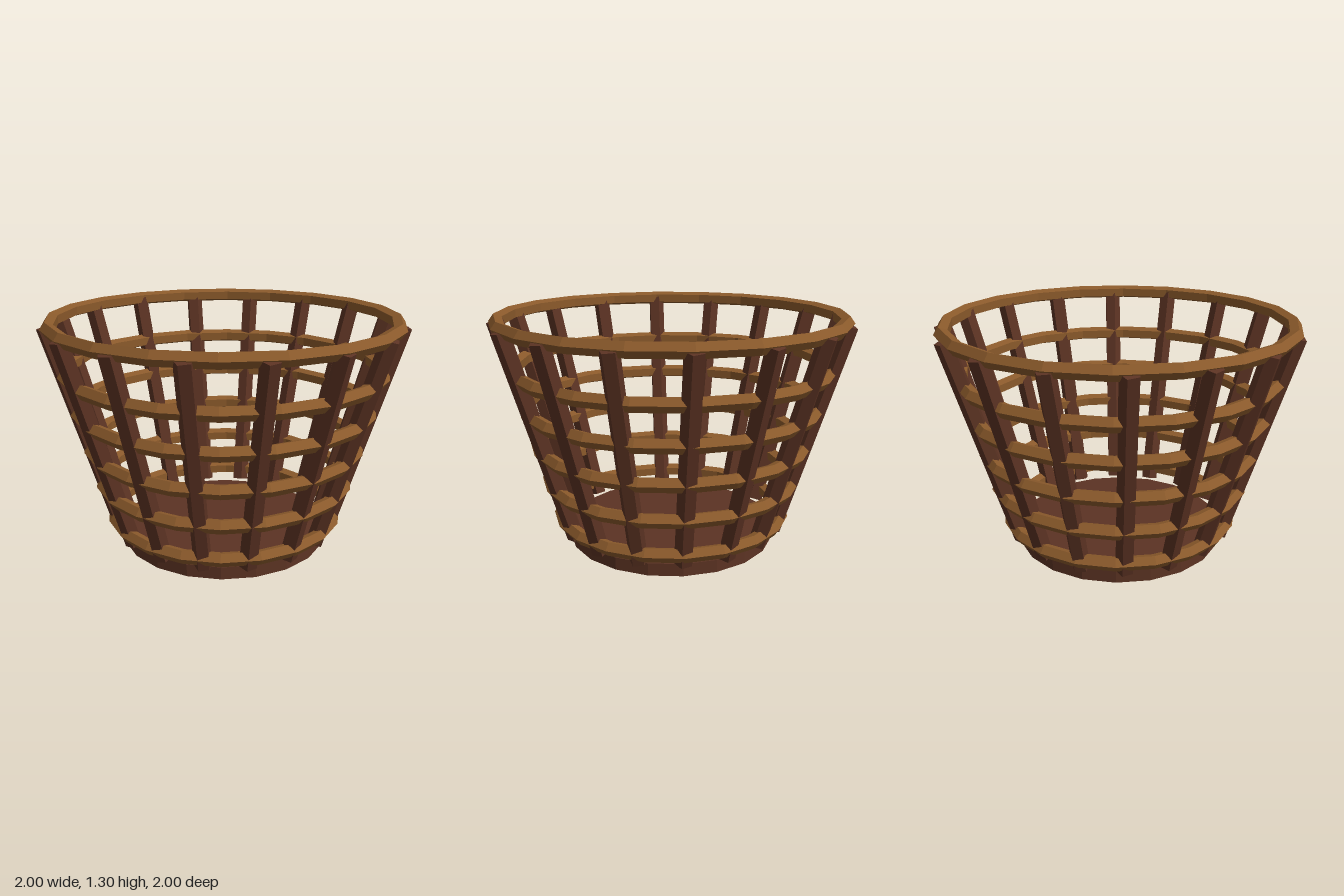
import * as THREE from 'three';

export function createModel() {
  const model = new THREE.Group();
  model.name = 'basket';

  const darkWood = new THREE.MeshStandardMaterial({ color: 0x5c3323, flatShading: true });
  darkWood.name = 'dark wood';
  const lightWood = new THREE.MeshStandardMaterial({ color: 0x8b5a2b, flatShading: true });
  lightWood.name = 'light wood';

  const add = (geometry, material, name, parent = model) => {
    const mesh = new THREE.Mesh(geometry, material);
    mesh.name = name;
    parent.add(mesh);
    return mesh;
  };

  // Solid round base
  add(new THREE.CylinderGeometry(0.59, 0.59, 0.07, 20), darkWood, 'base').position.y = 0.035;

  // Five-sided staves leaning outward
  const bottom = new THREE.Vector2(0.6, 0.084);
  const top = new THREE.Vector2(0.954, 1.259);
  const lean = Math.atan2(top.x - bottom.x, top.y - bottom.y);
  const staveGeometry = new THREE.CylinderGeometry(0.05, 0.05, bottom.distanceTo(top), 5);
  const count = 16;
  for (let i = 0; i < count; i++) {
    const pivot = new THREE.Group();
    pivot.name = `stavePivot${i + 1}`;
    pivot.rotation.y = (i / count) * Math.PI * 2;
    const stave = add(staveGeometry, darkWood, 'stave', pivot);
    stave.position.set((bottom.x + top.x) / 2, (bottom.y + top.y) / 2, 0);
    stave.rotation.z = -lean;
    model.add(pivot);
  }

  // Hoops widening towards the rim
  [0.145, 0.36, 0.572, 0.787, 1.0, 1.26].forEach((y, i) => {
    const radius = 0.6 + 0.273 * y;
    const hoop = add(new THREE.TorusGeometry(radius, 0.04, 5, 20), lightWood, i === 5 ? 'rim' : `hoop${i + 1}`);
    hoop.rotation.x = Math.PI / 2;
    hoop.position.y = y;
  });

  return model;
}
